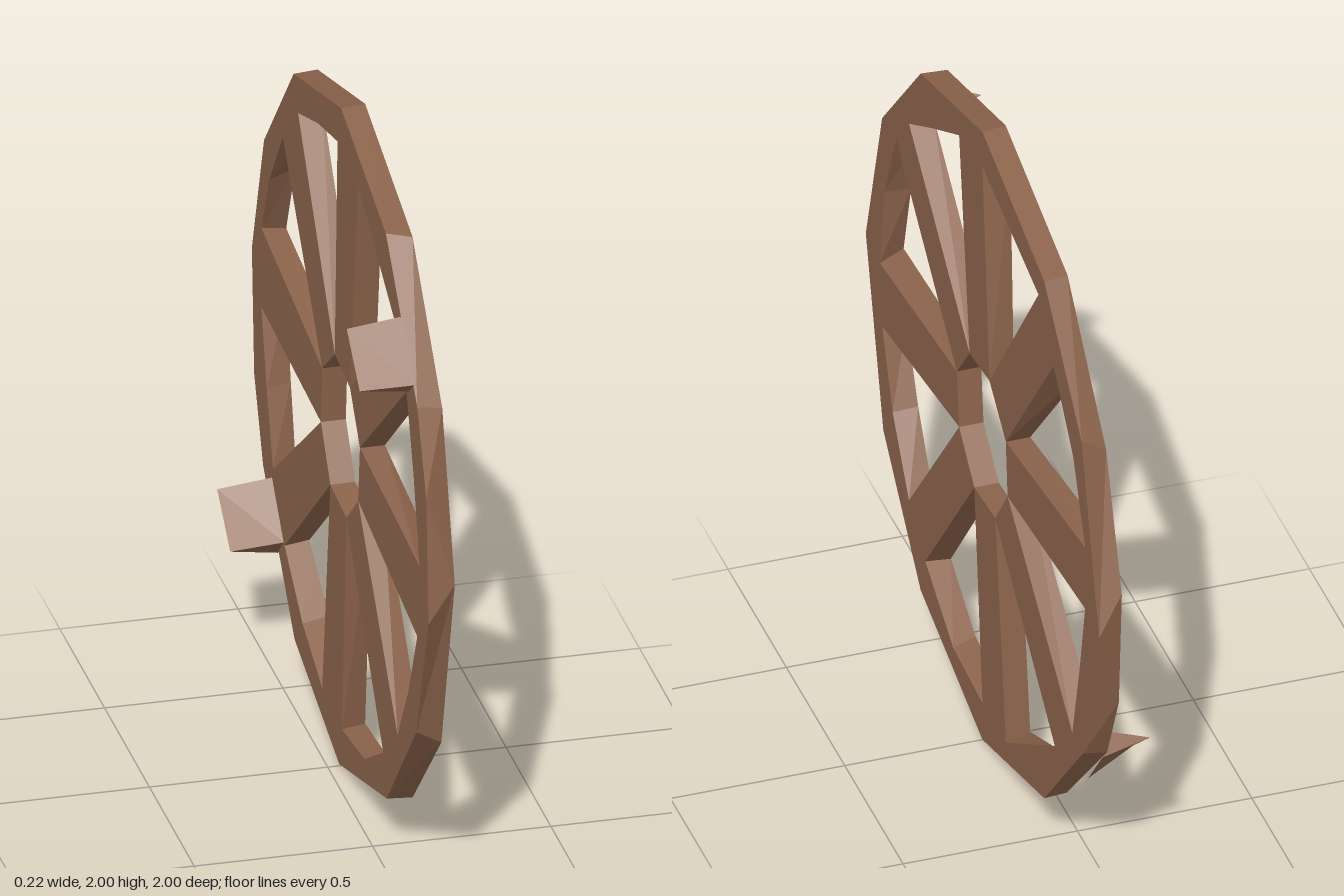
import * as THREE from 'three';

const XF = 0.105, XB = 0.035; // outer and inner faces of the wheel

// Half of the rim outline as [z, y - 1], clockwise seen from +x; the rest is a half turn
const outerFrontHalf = [[0, 1], [-0.53, 0.85], [-0.85, 0.53], [-1, -0.02], [-1, -0.02], [-0.86, -0.49], [-0.53, -0.85]];
const outerBackHalf = [[0.01, 1], [-0.52, 0.85], [-0.85, 0.49], [-0.985, 0.1], [-0.96, -0.27], [-0.86, -0.5], [-0.51, -0.86]];

// Windows: hub corner, then front and back corners along the rim (start, middle, end)
const windows = [
  { hub: [-0.06, 1.22], front: [[0, 1.885], [-0.24, 1.83], [-0.48, 1.775]], back: [[-0.03, 1.88], [-0.25, 1.83], [-0.47, 1.755]] },
  { hub: [-0.2, 1.11], front: [[-0.61, 1.625], [-0.78, 1.43], [-0.88, 1.2]], back: [[-0.64, 1.6], [-0.79, 1.4], [-0.88, 1.21]] },
  { hub: [-0.215, 0.94], front: [[-0.88, 1.0], [-0.83, 0.76], [-0.77, 0.52]], back: [[-0.88, 0.97], [-0.82, 0.75], [-0.75, 0.54]] },
  { hub: [-0.11, 0.8], front: [[-0.62, 0.38], [-0.41, 0.25], [-0.2, 0.12]], back: [[-0.62, 0.37], [-0.42, 0.23], [-0.2, 0.14]] },
  { hub: [0.07, 0.785], front: [[0, 0.12], [0.25, 0.14], [0.49, 0.27]], back: [[0.02, 0.12], [0.27, 0.15], [0.48, 0.27]] },
  { hub: [0.2, 0.9], front: [[0.63, 0.38], [0.77, 0.58], [0.86, 0.805]], back: [[0.64, 0.4], [0.76, 0.59], [0.86, 0.805]] },
  { hub: [0.22, 1.07], front: [[0.88, 1.0], [0.84, 1.26], [0.74, 1.5]], back: [[0.885, 1.03], [0.82, 1.27], [0.74, 1.49]] },
  { hub: [0.11, 1.2], front: [[0.63, 1.62], [0.42, 1.74], [0.2, 1.86]], back: [[0.63, 1.63], [0.42, 1.74], [0.2, 1.86]] },
];

const same = (p, q) => p[0] === q[0] && p[1] === q[1];
const fullTurn = (half) => [
  ...half.map(([z, y]) => [z, 1 + y]),
  ...half.map(([z, y]) => [-z, 1 - y]),
];

// Flat-faced triangle list
class Faces {
  constructor() { this.pos = []; }
  tri(a, b, c) { this.pos.push(...a, ...b, ...c); }
  // Flat face at x, turned towards +x (dir 1) or -x (dir -1)
  cap(x, outline, holes, dir) {
    const vec = (l) => l.map(([z, y]) => new THREE.Vector2(-z, y));
    const all = [outline, ...holes].flat();
    for (const t of THREE.ShapeUtils.triangulateShape(vec(outline), holes.map(vec))) {
      const [a, b, c] = t.map((i) => [x, all[i][1], all[i][0]]);
      const area = (a[2] - b[2]) * (c[1] - a[1]) - (b[1] - a[1]) * (a[2] - c[2]);
      if (area * dir > 0) this.tri(a, b, c); else this.tri(a, c, b);
    }
  }
  // Wall between front edge a-b and back edge c-d, outward for clockwise edges
  wall(a, b, c, d) {
    const f = ([z, y]) => [XF, y, z], k = ([z, y]) => [XB, y, z];
    if (!same(a, b)) this.tri(f(a), f(b), k(c));
    if (!same(c, d)) this.tri(f(b), k(d), k(c));
  }
  mesh(name, material) {
    const g = new THREE.BufferGeometry();
    g.setAttribute('position', new THREE.Float32BufferAttribute(this.pos, 3));
    g.computeVertexNormals();
    const m = new THREE.Mesh(g, material);
    m.name = name;
    return m;
  }
}

export function createModel() {
  const group = new THREE.Group();
  group.name = 'spokedWheel';
  const wood = new THREE.MeshStandardMaterial({ color: 0x8b634b, flatShading: true });
  wood.name = 'brown wood';

  // Rim: outer band, both faces and the inner walls of the windows
  const rim = new Faces();
  const of = fullTurn(outerFrontHalf), ob = fullTurn(outerBackHalf);
  rim.cap(XF, of.filter((p, i) => !i || !same(p, of[i - 1])), [windows.flatMap((w) => w.front)], 1);
  rim.cap(XB, ob, [windows.flatMap((w) => w.back)], -1);
  of.forEach((p, i) => {
    const j = (i + 1) % of.length;
    rim.wall(p, of[j], ob[i], ob[j]);
  });
  for (const { front: f, back: b } of windows) {
    for (let i = 0; i < 2; i++) rim.wall(f[i + 1], f[i], b[i + 1], b[i]);
  }
  group.add(rim.mesh('rim', wood));

  // Spokes: each runs between two neighbouring windows
  windows.forEach((w, i) => {
    const n = windows[(i + 1) % windows.length];
    const spoke = new Faces();
    spoke.cap(XF, [w.hub, w.front[2], n.front[0], n.hub], [], 1);
    spoke.cap(XB, [w.hub, w.back[2], n.back[0], n.hub], [], -1);
    spoke.wall(w.hub, w.front[2], w.hub, w.back[2]);
    spoke.wall(n.front[0], n.hub, n.back[0], n.hub);
    spoke.wall(n.hub, w.hub, n.hub, w.hub);
    group.add(spoke.mesh('spoke' + (i + 1), wood));
  });

  // Wedge pegs on the inner face, opposite each other
  for (const s of [1, -1]) {
    const at = (x, z, y) => [x, 1.005 + s * (y - 1.005), s * z];
    const t1 = at(-0.11, 0.65, 1.655), t2 = at(-0.11, 0.795, 1.535);
    const x = XB + 0.002;
    const a = at(x, 0.7, 1.7), b = at(x, 0.825, 1.55), c = at(x, 0.76, 1.5), d = at(x, 0.63, 1.635);
    const peg = new Faces();
    peg.tri(a, t1, b); peg.tri(t1, t2, b);
    peg.tri(c, t2, d); peg.tri(t2, t1, d);
    peg.tri(a, d, t1); peg.tri(c, b, t2);
    group.add(peg.mesh(s > 0 ? 'upperPeg' : 'lowerPeg', wood));
  }
  return group;
}
